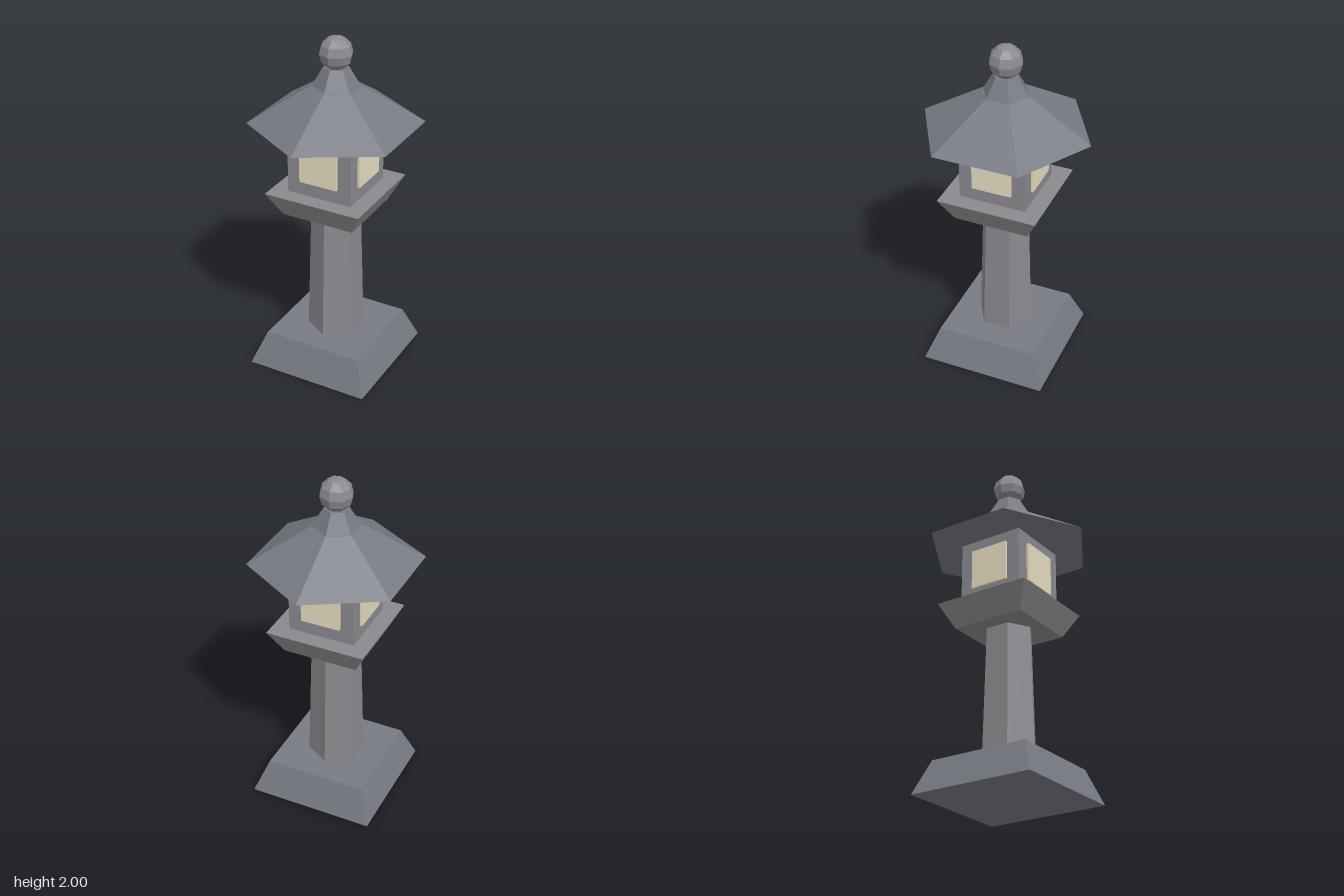
import * as THREE from 'three';

const material = (color) => new THREE.MeshStandardMaterial({ color, flatShading: true });

export function createModel() {
  const lantern = new THREE.Group();
  lantern.name = 'stoneLantern';
  const stone = material(0x8a898e);
  const slate = material(0x787b84);
  const paper = material(0xe6dcc0);

  const add = (name, geometry, mat, x, y, z) => {
    const mesh = new THREE.Mesh(geometry, mat);
    mesh.name = name;
    mesh.position.set(x, y, z);
    lantern.add(mesh);
    return mesh;
  };

  // Tapered prism from y0 to y1, given its corner radii
  const prism = (name, sides, r0, r1, y0, y1, mat) =>
    add(name, new THREE.CylinderGeometry(r1, r0, y1 - y0, sides), mat, 0, (y0 + y1) / 2, 0);

  // Four-sided prism with faces square to the axes, given its half widths
  const squarePrism = (name, w0, w1, y0, y1, mat) => {
    prism(name, 4, w0 * Math.SQRT2, w1 * Math.SQRT2, y0, y1, mat).rotation.y = Math.PI / 4;
  };

  // Base and six-sided post
  squarePrism('base', 0.37, 0.295, 0, 0.195, slate);
  prism('post', 6, 0.163, 0.14, 0.195, 0.975, stone);

  // Flared platform and light chamber
  squarePrism('platform', 0.217, 0.29, 0.975, 1.118, stone);
  squarePrism('lightChamber', 0.195, 0.195, 1.118, 1.5, stone);

  // One window panel on each side
  for (let i = 0; i < 4; i++) {
    const a = (i * Math.PI) / 2;
    const d = 0.199;
    add('window', new THREE.BoxGeometry(0.23, 0.235, 0.02), paper,
      Math.sin(a) * d, 1.318, Math.cos(a) * d).rotation.y = a;
  }

  // Six-sided roof, its neck and the ball on top
  prism('roof', 6, 0.488, 0.137, 1.5, 1.718, slate);
  prism('roofNeck', 6, 0.132, 0.07, 1.718, 1.825, slate);
  add('finial', new THREE.SphereGeometry(0.095, 8, 6), stone, 0, 1.905, 0);

  return lantern;
}
